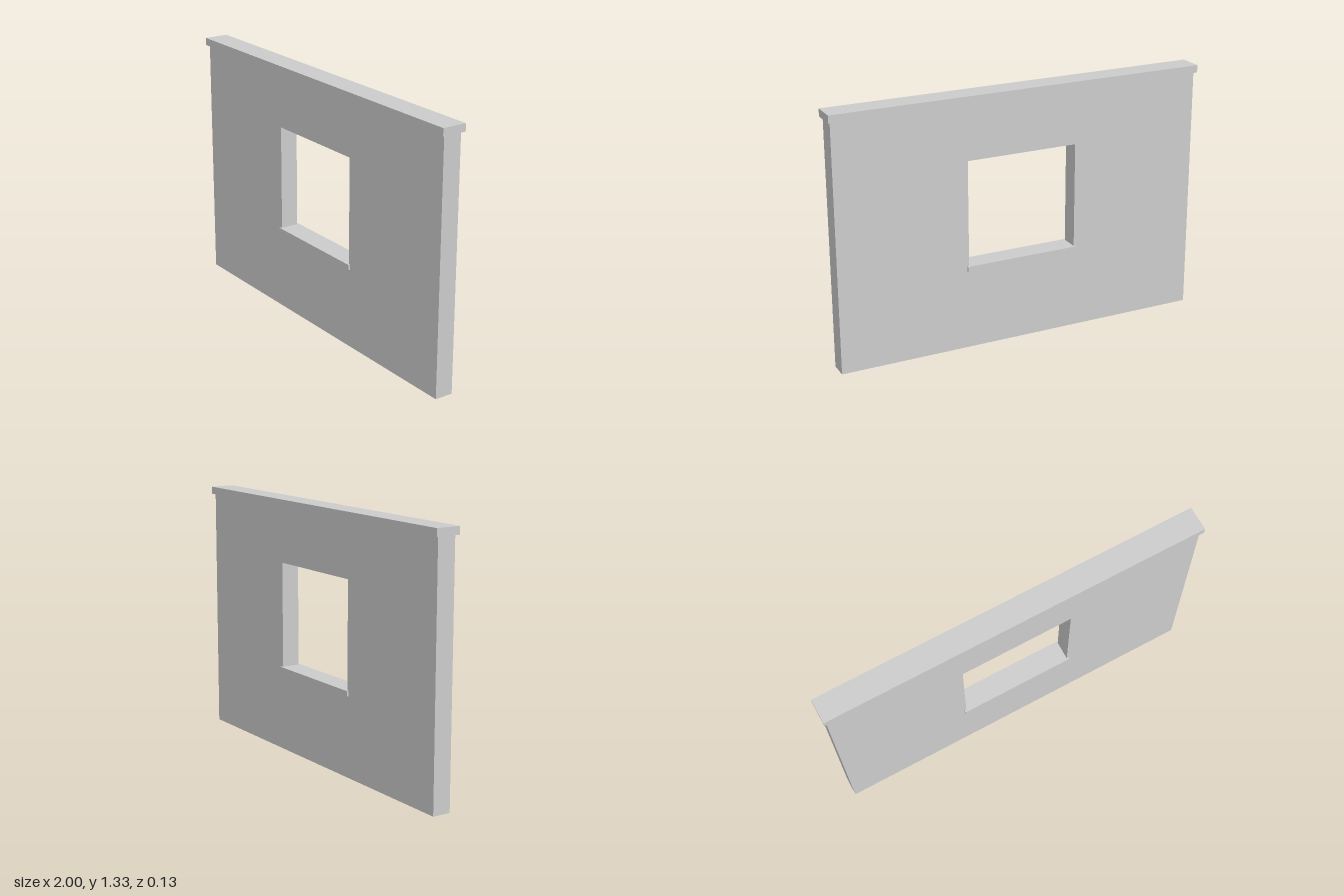
import * as THREE from 'three';

const material = new THREE.MeshStandardMaterial({ color: 0xcccccc, flatShading: true });

// Counter-clockwise rectangle corners
const rect = (x0, y0, x1, y1) => [[x0, y0], [x1, y0], [x1, y1], [x0, y1]].map(p => new THREE.Vector2(...p));

function slab(name, width, bottom, top, depth) {
  const mesh = new THREE.Mesh(new THREE.BoxGeometry(width, top - bottom, depth), material);
  mesh.name = name;
  mesh.position.y = (bottom + top) / 2;
  return mesh;
}

export function createModel() {
  const group = new THREE.Group();
  group.name = 'windowWall';

  // Wall panel with a window opening
  const depth = 0.096;
  const shape = new THREE.Shape(rect(-0.988, 0, 0.988, 1.289));
  shape.holes.push(new THREE.Path(rect(-0.297, 0.42, 0.297, 0.998).reverse()));
  const geometry = new THREE.ExtrudeGeometry(shape, { depth, bevelEnabled: false });
  geometry.translate(0, 0, -depth / 2);
  const wall = new THREE.Mesh(geometry, material);
  wall.name = 'wall';

  // Coping along the top and sill in the opening, both projecting front and back
  group.add(
    wall,
    slab('coping', 2, 1.289, 1.328, 0.128),
    slab('windowSill', 0.614, 0.418, 0.446, 0.117)
  );
  return group;
}
